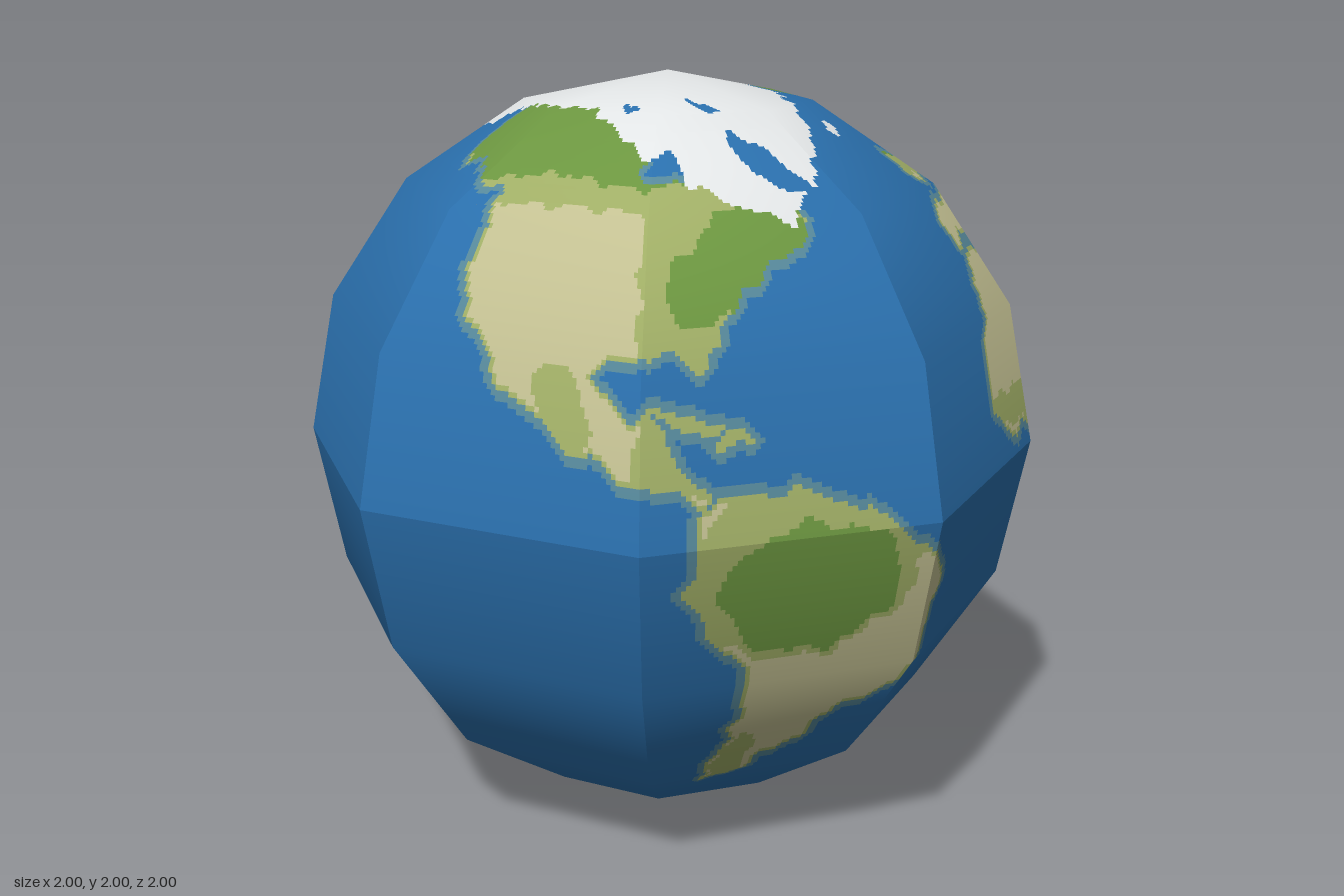
import * as THREE from 'three';

const SEG = 8, SUB_X = 60, SUB_Y = 30;            // facets, and map cells per facet
const COLS = SEG * SUB_X, ROWS = SEG * SUB_Y;
const RAD = Math.PI / 180;

const mat = (name, color) => {
  const m = new THREE.MeshStandardMaterial({ color });
  m.name = name;
  return m;
};

// Tests whether a point lies inside a coast outline of longitude, latitude pairs.
const outline = (...p) => (x, y) => {
  let hit = false;
  for (let i = 0, j = p.length - 2; i < p.length; j = i, i += 2) {
    if (p[i + 1] > y !== p[j + 1] > y && x < (p[j] - p[i]) * (y - p[i + 1]) / (p[j + 1] - p[i + 1]) + p[i]) hit = !hit;
  }
  return hit;
};

// The same for an ellipse: centre, half sizes and tilt in degrees.
const oval = (cx, cy, rx, ry, tilt = 0) => {
  const c = Math.cos(tilt * RAD), s = Math.sin(tilt * RAD);
  return (x, y) => Math.hypot(((x - cx) * c + (y - cy) * s) / rx, ((y - cy) * c - (x - cx) * s) / ry) < 1;
};

const northAmerica = outline(-166, 63, -160, 53, -146, 55, -126, 49, -125, 34, -115, 22, -108, 17, -104, 14, -90, 9, -81, 6, -80, 8,
  -87, 14, -88, 19, -93, 18, -98, 23, -95, 26, -85, 26, -81, 24, -77, 28, -73, 35, -61, 40, -57, 44, -57, 50, -80, 53, -95, 60,
  -110, 70, -156, 70);
const southAmerica = outline(-81, 6, -72, 7, -64, 6, -55, 3, -46, -5, -39, -8, -43, -19, -45, -27, -53, -31, -59, -38, -68, -44,
  -78, -53, -78, -45, -74, -36, -73, -23, -77, -17, -83, -8);
const africa = outline(-6, 33, 10, 33.5, 20, 29, 32, 29, 43, 11.5, 51, 12, 40, -4, 39, -17, 36, -25, 28, -33, 16, -36, 13, -17, 9, 4,
  -8, 3, -16, 8, -17, 18, -10, 28);
const eurasia = outline(-8, 34, -8, 42, -2, 42, 9, 52, 29, 57, 18, 59, 13, 54, 6, 58, 25, 71, 73, 73, 180, 69, 172, 61, 162, 57, 157, 50,
  155, 59, 137, 54, 140, 46, 129, 35, 125, 39, 122, 30, 109, 21, 109, 12, 105, 9, 100, 13, 103, 2, 98, 10, 94, 17, 90, 22,
  79, 8, 72, 21, 57, 26, 48, 30, 59, 22, 44, 12.5, 35, 27, 35, 34, 27, 35, 29, 39, 22, 35, 13, 43, 18, 38, 10, 42, 0, 36);
const australia = outline(114, -22, 130, -12, 142, -11, 152, -26, 148, -38, 131, -32, 115, -34);
const islands = [
  oval(-2, 49.5, 2.5, 4), oval(47, -19, 2, 6.5, -15), oval(81, 8, 1.5, 2),
  oval(114, 1, 5, 4.5), oval(101, 0, 8, 2, -45), oval(110, -7, 5, 1.2, -5), oval(121, -2, 2, 3.5),
  oval(141, -5, 10, 3, -18), oval(123, 13, 2, 6, 15), oval(137, 37, 8, 1.8, 45),
  oval(-83, 17, 5, 1, -15), oval(-76, 14, 3, 1), oval(173, -41, 8, 2, 55),
];
const land = [northAmerica, southAmerica, africa, eurasia, australia, ...islands];
const seas = [
  oval(35, 41, 6, 2), oval(50, 41, 2.5, 5.5), oval(12, 36, 10, 2), oval(139, -14, 2.5, 3),
  oval(-87, 56, 6, 3), oval(-59, 56, 10, 3.5, -40), oval(-70, 71, 6, 2, -30), oval(-104, 70, 5, 1.5), oval(165, 68, 10, 1.5),
];
const grass = [
  oval(-65, -5, 18, 14), oval(-73, -44, 3, 10, -15), oval(20, -4, 17, 12, -10), oval(2, 7, 22, 3, -5), oval(100, 23, 26, 9, 5),
  oval(77, 14, 2.5, 8), oval(-103, 18, 4, 7, 20), oval(149, -27, 3, 12, 10),
];
const forest = [
  oval(-64, -8, 14, 10), oval(18, -8, 7.5, 7), oval(-72, 40, 16, 7, 28), oval(114, 1, 3, 2), oval(140, -5, 4, 1.5), oval(98, 21, 1.5, 3),
];
const iceIslands = [oval(-15, 61, 3, 1.5), oval(143, 43, 2, 1.5)];
// latitude every 15 degrees
const ARCTIC_EDGE = [60, 66, 68, 69, 69, 64, 57, 50, 44, 56, 62, 70, 73, 73, 74, 73, 67, 61, 61, 63, 61, 60, 66, 67];

function isIce(x, y) {
  const k = (x + 180) / 15, i = Math.floor(k);
  const edge = THREE.MathUtils.lerp(ARCTIC_EDGE[i % 24], ARCTIC_EDGE[(i + 1) % 24], k - i);
  return y > edge || y < -72 + 6 * Math.cos((x - 100) * RAD) || iceIslands.some(f => f(x, y));
}

function groundAt(lon, lat) {
  // a small wiggle roughens the coasts
  const x = THREE.MathUtils.clamp(lon + 0.6 * Math.sin(lat * 0.7) + 0.4 * Math.sin(lat * 1.1 + lon * 0.5), -179.9, 179.9);
  const y = lat + 0.6 * Math.sin(lon * 0.6) + 0.4 * Math.sin(lon * 1.1 + lat * 0.4);
  const within = f => f(x, y);
  if (seas.some(within)) return 'ocean';
  if (isIce(x, y)) return 'ice';
  if (!land.some(within)) return 'ocean';
  if (y > 53 + Math.sin(x * 0.15) || forest.some(within)) return 'forest';
  const rainyEast = x > 94 && y > -11 && y < 20 || x > 126 && y > 0;
  const rainyWest = x > -91 && x < -60 && y > 8;
  const northern = y > (x > 50 ? 43.5 : 47.5);
  return northern || rainyEast || rainyWest || grass.some(within) ? 'grassland' : 'dryland';
}

// Paint the cells, then add shallows and a green rim along the coasts.
function paintMap() {
  const raw = [];
  for (let r = 0; r < ROWS; r++) {
    raw.push([]);
    for (let c = 0; c < COLS; c++) raw[r].push(groundAt((c + 0.5) / COLS * 360 - 180, 90 - (r + 0.5) / ROWS * 180));
  }
  const near = (r, c, d, test) => {
    for (let a = -d; a <= d; a++) for (let b = -d; b <= d; b++) {
      if (Math.abs(a) + Math.abs(b) <= d && raw[r + a] && test(raw[r + a][(c + b + COLS) % COLS])) return true;
    }
    return false;
  };
  return raw.map((row, r) => row.map((k, c) => {
    if (k === 'ocean' && near(r, c, 2, n => n !== 'ocean' && n !== 'ice')) return 'shallows';
    if (k === 'dryland' && near(r, c, 1, n => n === 'ocean')) return 'grassland';
    return k;
  }));
}

// Point on a sphere, by angle from the pole and longitude.
const dir = (polar, lon) => new THREE.Vector3(
  Math.sin(polar) * Math.cos(lon), Math.cos(polar), -Math.sin(polar) * Math.sin(lon));

// Four corners of a facet, blended across it.
function facet(fx, fy) {
  const step = Math.PI / SEG, mid = (fx + 0.5) * 2 * step - Math.PI;
  const corner = (i, j) => dir((fy + j) * step, (fx + i) * 2 * step - Math.PI);
  const normal = (i, j) => {
    const ring = fy + j, off = Math.abs(ring - SEG / 2);
    // meridian edges are sharp near the equator and soften toward the poles
    const soft = off <= 1 ? 0 : off === 2 ? 0.5 : 1;
    const tilt = off > 0 ? 0 : j === 1 ? -0.18 : 0.18;
    return dir(ring * step + tilt, mid + (i - 0.5) * 2 * step * soft);
  };
  const blend = f => {
    const [a, b, c, d] = [f(0, 0), f(1, 0), f(0, 1), f(1, 1)];
    return (s, t) => a.clone().lerp(b, s).lerp(c.clone().lerp(d, s), t);
  };
  return { point: blend(corner), normal: blend(normal) };
}

export function createModel() {
  const group = new THREE.Group();
  group.name = 'globe';
  const materials = {
    ocean: mat('ocean blue', 0x2a6fac), shallows: mat('shallow water', 0x56889a),
    dryland: mat('dry tan', 0xc3c092), grassland: mat('grass green', 0xa0ae66),
    forest: mat('forest green', 0x6c9640), ice: mat('ice white', 0xe2e5e6),
  };
  const parts = {};
  for (const k in materials) parts[k] = { position: [], normal: [] };
  const map = paintMap();

  for (let fy = 0; fy < SEG; fy++) for (let fx = 0; fx < SEG; fx++) {
    const f = facet(fx, fy);
    for (let r = 0; r < SUB_Y; r++) {
      const row = map[fy * SUB_Y + r];
      // join neighbouring cells of one colour into a strip
      for (let c = 0, e; c < SUB_X; c = e) {
        const kind = row[fx * SUB_X + c];
        for (e = c + 1; e < SUB_X && row[fx * SUB_X + e] === kind;) e++;
        const s0 = c / SUB_X, s1 = e / SUB_X, t0 = r / SUB_Y, t1 = (r + 1) / SUB_Y;
        for (const [s, t] of [[s0, t0], [s0, t1], [s1, t1], [s0, t0], [s1, t1], [s1, t0]]) {
          const p = f.point(s, t), n = f.normal(s, t).normalize();
          parts[kind].position.push(p.x, p.y + 1, p.z);
          parts[kind].normal.push(n.x, n.y, n.z);
        }
      }
    }
  }

  for (const k in parts) {
    const g = new THREE.BufferGeometry();
    for (const a in parts[k]) g.setAttribute(a, new THREE.Float32BufferAttribute(parts[k][a], 3));
    const mesh = new THREE.Mesh(g, materials[k]);
    mesh.name = k;
    group.add(mesh);
  }
  return group;
}
